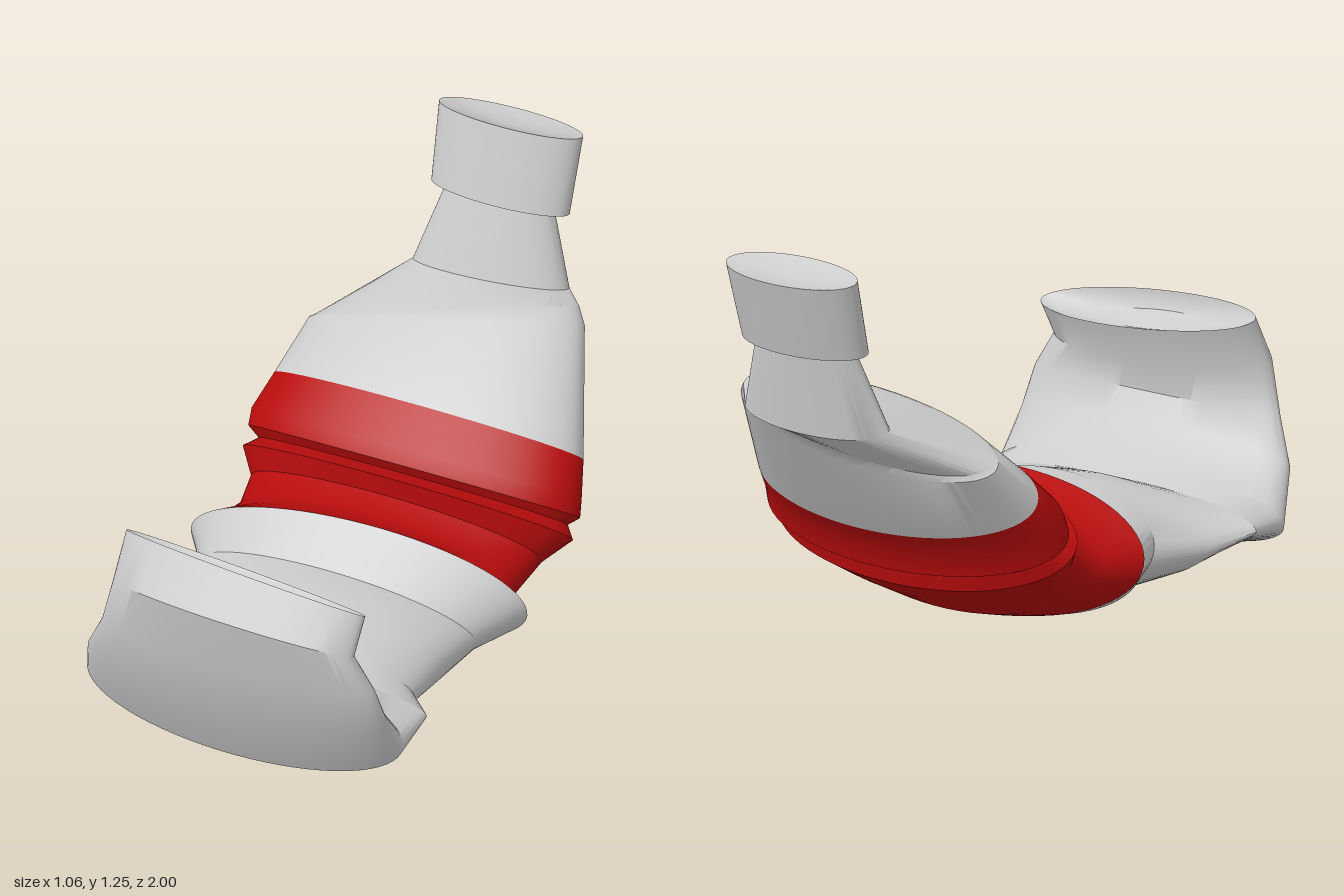
import * as THREE from 'three';
import { toCreasedNormals } from 'three/addons/utils/BufferGeometryUtils.js';

const SIDES = 64;

// Squashed ring: inner point (z, y), outer point (z, y), side limits, and skew of its +x end
const ring = (iz, iy, oz, oy, xl, xr, sz = 0, sy = 0) => ({ iz, iy, oz, oy, xl, xr, sz, sy });

// Ring shrunk about its centre and shifted, for closing the ends
function inset(r, s, dz, dy) {
  const cz = (r.iz + r.oz) / 2, cy = (r.iy + r.oy) / 2, cx = (r.xl + r.xr) / 2;
  const k = (v, c, d = 0) => c + (v - c) * s + d;
  return ring(k(r.iz, cz, dz), k(r.iy, cy, dy), k(r.oz, cz, dz), k(r.oy, cy, dy),
    k(r.xl, cx), k(r.xr, cx), r.sz * s, r.sy * s);
}

// Skin through a run of rings
function loft(rings, crease = 0.6) {
  const pos = [], idx = [];
  for (const r of rings) {
    for (let j = 0; j <= SIDES; j++) {
      const a = (j / SIDES) * Math.PI * 2, c = Math.cos(a), s = Math.sin(a);
      pos.push(
        (r.xl + r.xr) / 2 + c * (r.xr - r.xl) / 2,
        (r.iy + r.oy) / 2 + s * (r.iy - r.oy) / 2 + c * r.sy,
        (r.iz + r.oz) / 2 + s * (r.iz - r.oz) / 2 + c * r.sz);
    }
  }
  const w = SIDES + 1;
  for (let i = 0; i < rings.length - 1; i++) {
    for (let j = 0; j < SIDES; j++) {
      const a = i * w + j, b = a + w;
      idx.push(a, a + 1, b + 1, a, b + 1, b);
    }
  }
  const g = new THREE.BufferGeometry();
  g.setAttribute('position', new THREE.Float32BufferAttribute(pos, 3));
  g.setIndex(idx);
  return toCreasedNormals(g, crease);
}

export function createModel() {
  const group = new THREE.Group();
  const grey = new THREE.MeshStandardMaterial({ color: 0xcccccc, side: THREE.DoubleSide });
  const red = new THREE.MeshStandardMaterial({ color: 0xb80c0c, side: THREE.DoubleSide });
  const add = (name, rings, material) => {
    const mesh = new THREE.Mesh(loft(rings), material);
    mesh.name = name;
    group.add(mesh);
  };

  // Cap with a slightly sunken top
  const capTop = ring(-0.83, 1.25, -1.0, 1.21, -0.23, 0.225);
  const capEnd = ring(-0.77, 1.02, -0.935, 0.985, -0.222, 0.215);
  const neckTop = ring(-0.79, 1.02, -0.92, 0.99, -0.175, 0.165);
  add('cap', [inset(capTop, 0, 0.005, -0.02), inset(capTop, 0.6, 0.003, -0.01), capTop, capEnd, neckTop], grey);

  // Neck, slanted shoulder and upper body
  const bandStart = ring(-0.29, 0.62, -0.56, 0.38, -0.5, 0.485);
  add('neckAndShoulder', [
    neckTop,
    ring(-0.715, 0.8, -0.89, 0.745, -0.25, 0.235, -0.01, 0.01),
    ring(-0.52, 0.79, -0.745, 0.66, -0.44, 0.32, -0.08, 0.08),
    ring(-0.49, 0.78, -0.73, 0.63, -0.455, 0.36, -0.06, 0.07),
    bandStart,
  ], grey);

  // Crumpled coloured band
  const bandEnd = ring(0.08, 0.43, -0.04, 0.02, -0.52, 0.525, -0.035, 0);
  add('crumpledBand', [
    bandStart,
    ring(-0.19, 0.53, -0.5, 0.31, -0.53, 0.52),
    ring(-0.165, 0.49, -0.485, 0.25, -0.53, 0.525),
    ring(-0.18, 0.455, -0.44, 0.24, -0.49, 0.495),
    ring(-0.115, 0.47, -0.43, 0.19, -0.52, 0.53),
    ring(-0.115, 0.41, -0.33, 0.13, -0.47, 0.46),
    ring(-0.04, 0.385, -0.2, 0.065, -0.455, 0.435),
    ring(0.0, 0.39, -0.11, 0.04, -0.47, 0.45),
    bandEnd,
  ], red);

  // Lower body, pinched at the waist
  const waist = ring(0.6, 0.27, 0.57, 0.13, -0.515, 0.52);
  add('lowerBody', [
    bandEnd,
    ring(0.2, 0.325, 0.03, 0.012, -0.46, 0.43),
    ring(0.37, 0.34, 0.2, 0.005, -0.375, 0.42),
    ring(0.52, 0.3, 0.4, 0.035, -0.44, 0.415),
    waist,
  ], grey);

  // Upturned base with a dimpled end
  const rim = ring(0.78, 0.655, 0.92, 0.735, -0.305, 0.46, 0, -0.035);
  add('upturnedBase', [
    waist,
    ring(0.68, 0.31, 0.82, 0.055, -0.485, 0.53),
    ring(0.78, 0.39, 0.92, 0.25, -0.43, 0.53),
    ring(0.825, 0.46, 0.965, 0.43, -0.36, 0.515),
    ring(0.82, 0.54, 1.0, 0.61, -0.315, 0.455, 0, -0.02),
    rim,
    inset(rim, 0.85, 0.01, -0.02),
    inset(rim, 0.5, 0.02, -0.035),
    inset(rim, 0, 0.02, -0.03),
  ], grey);

  return group;
}
